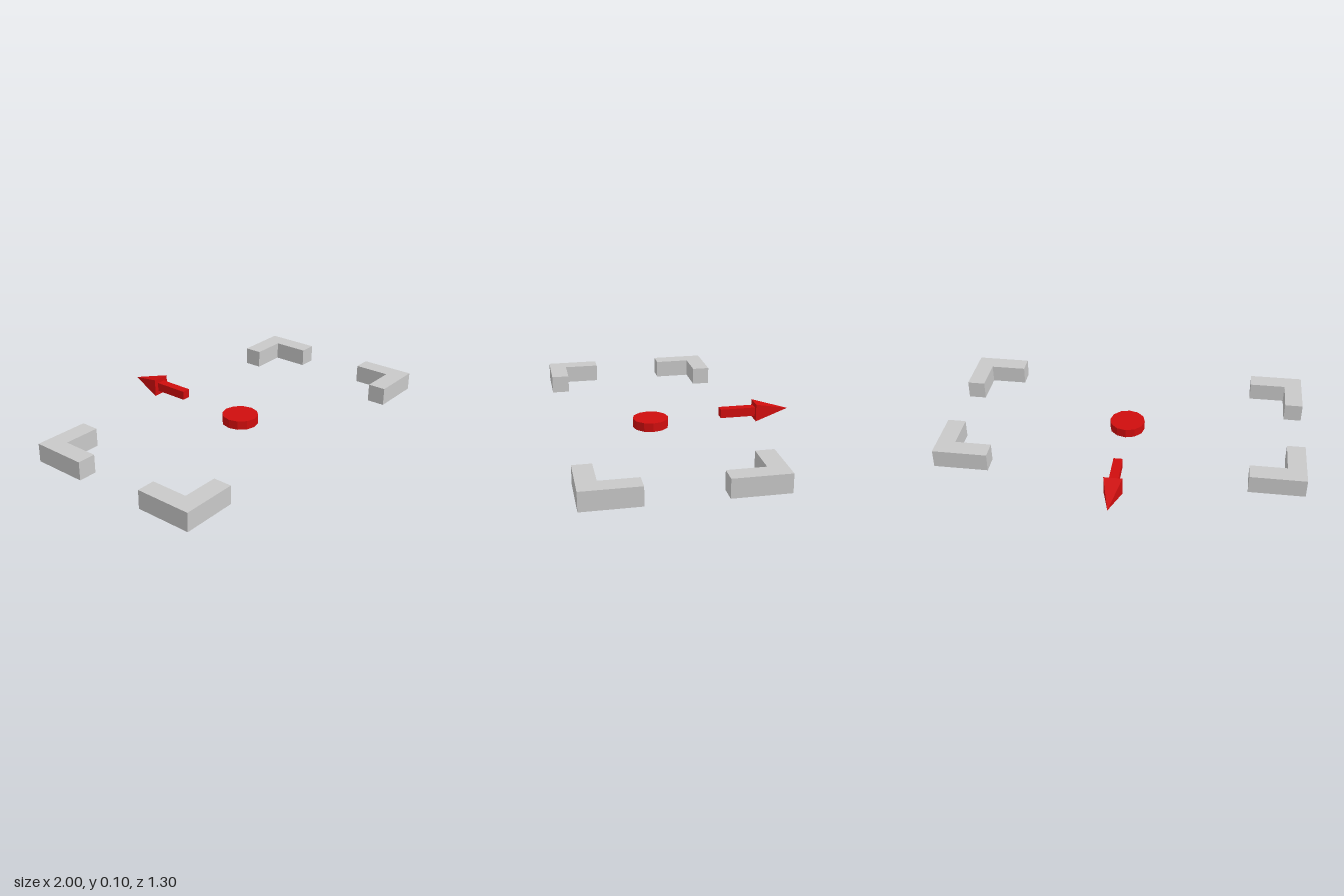
import * as THREE from 'three';

export function createModel() {
  const model = new THREE.Group();
  model.name = 'cornerMarkers';

  const grey = new THREE.MeshStandardMaterial({ color: 0xc8c8c8, flatShading: true });
  grey.name = 'light grey';
  const red = new THREE.MeshStandardMaterial({ color: 0xcf0d0d, flatShading: true });
  red.name = 'red';

  const add = (name, geometry, material, x, y, z, parent = model) => {
    const mesh = new THREE.Mesh(geometry, material);
    mesh.name = name;
    mesh.position.set(x, y, z);
    parent.add(mesh);
    return mesh;
  };

  const centreZ = 0.15;

  // L-shaped corner brackets, drawn from the outer corner inwards
  const arm = 0.3, width = 0.1, height = 0.1;
  const outline = [[0, 0], [arm, 0], [arm, width], [width, width], [width, arm], [0, arm]];
  for (const sx of [-1, 1]) {
    for (const sz of [-1, 1]) {
      // shape y becomes -z once laid flat
      const shape = new THREE.Shape(outline.map(([a, b]) => new THREE.Vector2(-sx * a, sz * b)));
      const geometry = new THREE.ExtrudeGeometry(shape, { depth: height, bevelEnabled: false });
      geometry.rotateX(-Math.PI / 2);
      const name = (sz > 0 ? 'front' : 'back') + (sx > 0 ? 'Left' : 'Right') + 'Corner';
      add(name, geometry, grey, sx, 0, centreZ + sz * 0.5);
    }
  }

  // Centre disc
  add('centreDisc', new THREE.CylinderGeometry(0.1, 0.1, 0.05, 12), red, 0, 0.025, centreZ);

  // Arrow pointing to the back: square shaft and pyramid head
  const arrow = new THREE.Group();
  arrow.name = 'directionArrow';
  arrow.position.y = 0.05;
  model.add(arrow);
  add('arrowShaft', new THREE.BoxGeometry(0.05, 0.05, 0.2), red, 0, 0, -0.35, arrow);
  const head = new THREE.ConeGeometry(0.05 * Math.SQRT2, 0.2, 4);
  head.rotateY(Math.PI / 4).rotateX(-Math.PI / 2);
  add('arrowHead', head, red, 0, 0, -0.55, arrow);

  return model;
}
